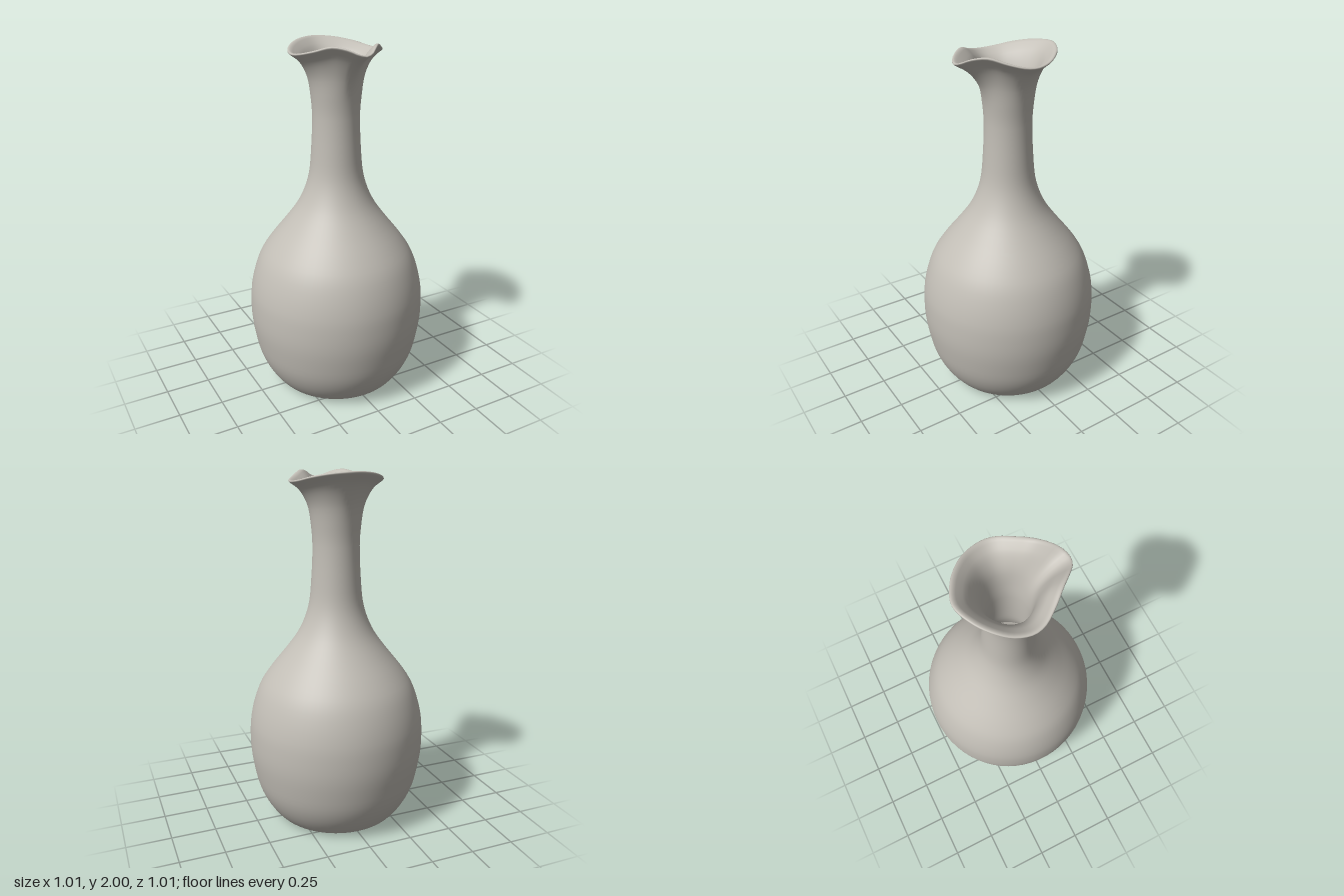
import * as THREE from 'three';

const SEGMENTS = 64;

// One half of the wavy rim [x, y, z], from the pouring lip (+z) round to the back
const RIM_HALF = [
  [0, 1.955, 0.315], [0.04, 1.965, 0.303], [0.08, 1.985, 0.268], [0.135, 1.995, 0.205],
  [0.2, 1.97, 0.13], [0.247, 1.952, 0.06], [0.26, 1.947, 0], [0.242, 1.955, -0.08],
  [0.2, 1.973, -0.15], [0.115, 1.992, -0.226], [0, 2.0, -0.27],
];

// Half profiles [radius, height]
const BASE = [[0, 0.03], [0.15, 0.028], [0.26, 0.018], [0.3, 0.004], [0.325, 0.002]];
const OUTSIDE = [
  [0.325, 0.002], [0.36, 0.025], [0.42, 0.105], [0.463, 0.2], [0.488, 0.31], [0.503, 0.42],
  [0.504, 0.53], [0.497, 0.61], [0.474, 0.71], [0.435, 0.81], [0.375, 0.9], [0.295, 1.0],
  [0.222, 1.1], [0.178, 1.19], [0.152, 1.28], [0.139, 1.4], [0.13, 1.6], [0.136, 1.7],
  [0.152, 1.8], [0.177, 1.86], [0.21, 1.905], [0.255, 1.938],
];
const LIP = [[0.255, 1.938], [0.261, 1.944], [0.258, 1.95], [0.247, 1.95], [0.232, 1.942]];
const INSIDE = [
  [0.232, 1.942], [0.19, 1.91], [0.155, 1.86], [0.132, 1.8], [0.114, 1.7], [0.106, 1.6],
  [0.111, 1.4], [0.124, 1.28], [0.19, 1.1], [0.34, 0.9], [0.44, 0.71], [0.475, 0.5],
  [0.455, 0.31], [0.39, 0.11], [0.32, 0.055], [0.15, 0.05], [0, 0.05],
];

// Smooth curve through profile points
function smooth(points, divisions) {
  const v = points.map(([r, y]) => new THREE.Vector3(r, y, 0));
  return new THREE.CatmullRomCurve3(v).getPoints(divisions);
}

// Closed rim curve: the half outline plus its mirror image
function rimPoints() {
  const mirrored = RIM_HALF.slice(1, -1).reverse().map(([x, y, z]) => [-x, y, z]);
  const loop = [...RIM_HALF, ...mirrored].map((p) => new THREE.Vector3(...p));
  return new THREE.CatmullRomCurve3(loop, true).getSpacedPoints(SEGMENTS).slice(0, SEGMENTS);
}

// Turn a profile round the axis, easing the circles into the rim outline near the top
function turnedShell(profile, rim) {
  const positions = [];
  const index = [];
  profile.forEach(({ x: radius, y }, i) => {
    const t = THREE.MathUtils.clamp((y - 1.7) / 0.245, 0, 1);
    const flare = t * t;
    rim.forEach((p, j) => {
      const angle = Math.atan2(p.x, p.z);
      const r = Math.max(0, radius) + (Math.hypot(p.x, p.z) - 0.26) * flare;
      positions.push(r * Math.sin(angle), y + (p.y - 1.95) * flare, r * Math.cos(angle));
      if (i === profile.length - 1) return;
      const a = i * SEGMENTS + j;
      const b = i * SEGMENTS + (j + 1) % SEGMENTS;
      index.push(a, b, b + SEGMENTS, a, b + SEGMENTS, a + SEGMENTS);
    });
  });
  const geometry = new THREE.BufferGeometry();
  geometry.setAttribute('position', new THREE.Float32BufferAttribute(positions, 3));
  geometry.setIndex(index);
  geometry.computeVertexNormals();
  return geometry;
}

export function createModel() {
  const group = new THREE.Group();
  group.name = 'pouringVase';

  const clay = new THREE.MeshStandardMaterial({ color: 0xc2beb6 });
  clay.name = 'pale clay';

  const rim = rimPoints();

  // Hollow base underneath
  const base = new THREE.Mesh(turnedShell(smooth(BASE, 10), rim), clay);
  base.name = 'base';

  // Body, neck, rolled lip and inner wall as one continuous skin
  const wall = [
    ...smooth(OUTSIDE, 63),
    ...smooth(LIP, 8).slice(1),
    ...smooth(INSIDE, 48).slice(1),
  ];
  const vessel = new THREE.Mesh(turnedShell(wall, rim), clay);
  vessel.name = 'vessel';

  group.add(base, vessel);
  return group;
}
